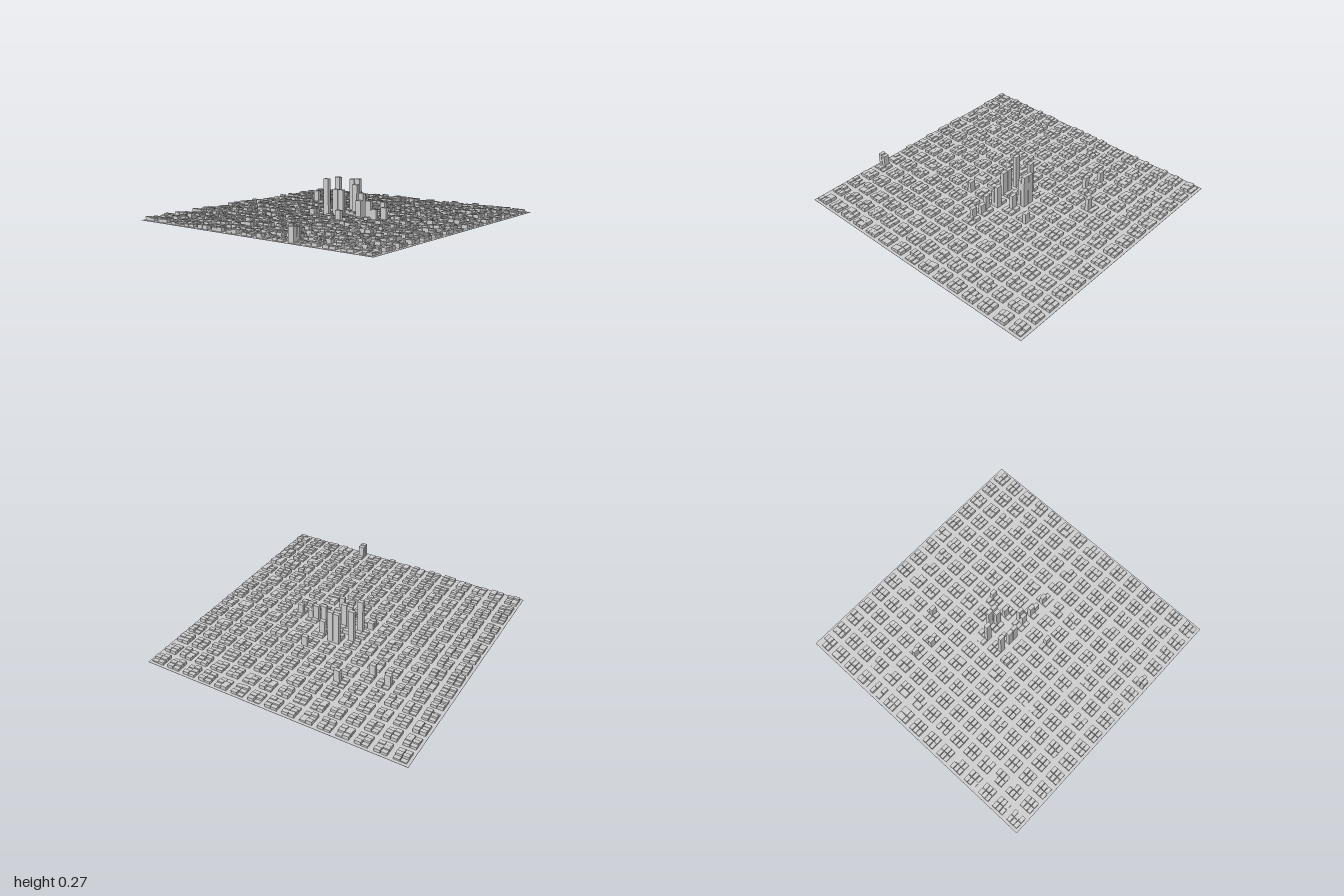
import * as THREE from 'three';
import { mergeGeometries } from 'three/addons/utils/BufferGeometryUtils.js';

const BLOCKS = 15;
const PITCH = 2 / BLOCKS;
const GROUND = 0.002;

// Towers: x, z, height
const TOWERS = [
  [-0.11, 0.03, 0.27], [-0.11, -0.1, 0.27], [-0.16, 0.1, 0.06], [-0.16, 0.133, 0.06],
  [-0.024, -0.165, 0.255], [0.024, -0.165, 0.26], [0.024, -0.133, 0.22],
  [-0.024, 0.03, 0.2], [0.024, 0.03, 0.2],
  [0.11, -0.133, 0.13], [0.157, -0.03, 0.18], [0.157, 0, 0.13],
  [0.243, 0, 0.135], [0.29, 0, 0.08], [0.376, 0, 0.1],
  [0.157, 0.236, 0.09], [0.157, -0.298, 0.085],
  [-0.243, -0.533, 0.11], [-0.424, -0.37, 0.11], [-0.557, -0.4, 0.1],
  [0.376, 0.933, 0.1], [0.376, 0.964, 0.105],
];

// Small seeded generator for the low roofs
function seeded(seed) {
  return () => {
    seed = (seed * 16807) % 2147483647;
    return seed / 2147483647;
  };
}

function towerHeight(x, z) {
  const t = TOWERS.find(([tx, tz]) => Math.abs(tx - x) < 0.015 && Math.abs(tz - z) < 0.012);
  return t ? t[2] : 0;
}

function building(x, z, height) {
  return new THREE.BoxGeometry(0.044, height, 0.028).translate(x, height / 2, z);
}

export function createModel() {
  const city = new THREE.Group();
  city.name = 'city';
  const material = new THREE.MeshStandardMaterial({ color: 0xcccccc });
  const random = seeded(4217);

  // Thin ground plate
  const ground = new THREE.Mesh(new THREE.BoxGeometry(2, GROUND, 2), material);
  ground.position.y = GROUND / 2;
  ground.name = 'ground';
  city.add(ground);

  // Blocks of two by three lots, separated by streets
  for (let row = 0; row < BLOCKS; row++) {
    for (let col = 0; col < BLOCKS; col++) {
      const cx = (col + 0.5) * PITCH - 1;
      const cz = (row + 0.5) * PITCH - 1;
      const lots = [];
      for (const dx of [-0.024, 0.024]) {
        for (const dz of [-0.032, 0, 0.032]) {
          const low = 0.005 + 0.027 * Math.sqrt(random());
          lots.push(building(cx + dx, cz + dz, towerHeight(cx + dx, cz + dz) || low));
        }
      }
      const block = new THREE.Mesh(mergeGeometries(lots), material);
      block.name = `cityBlock_${row}_${col}`;
      city.add(block);
    }
  }
  return city;
}
